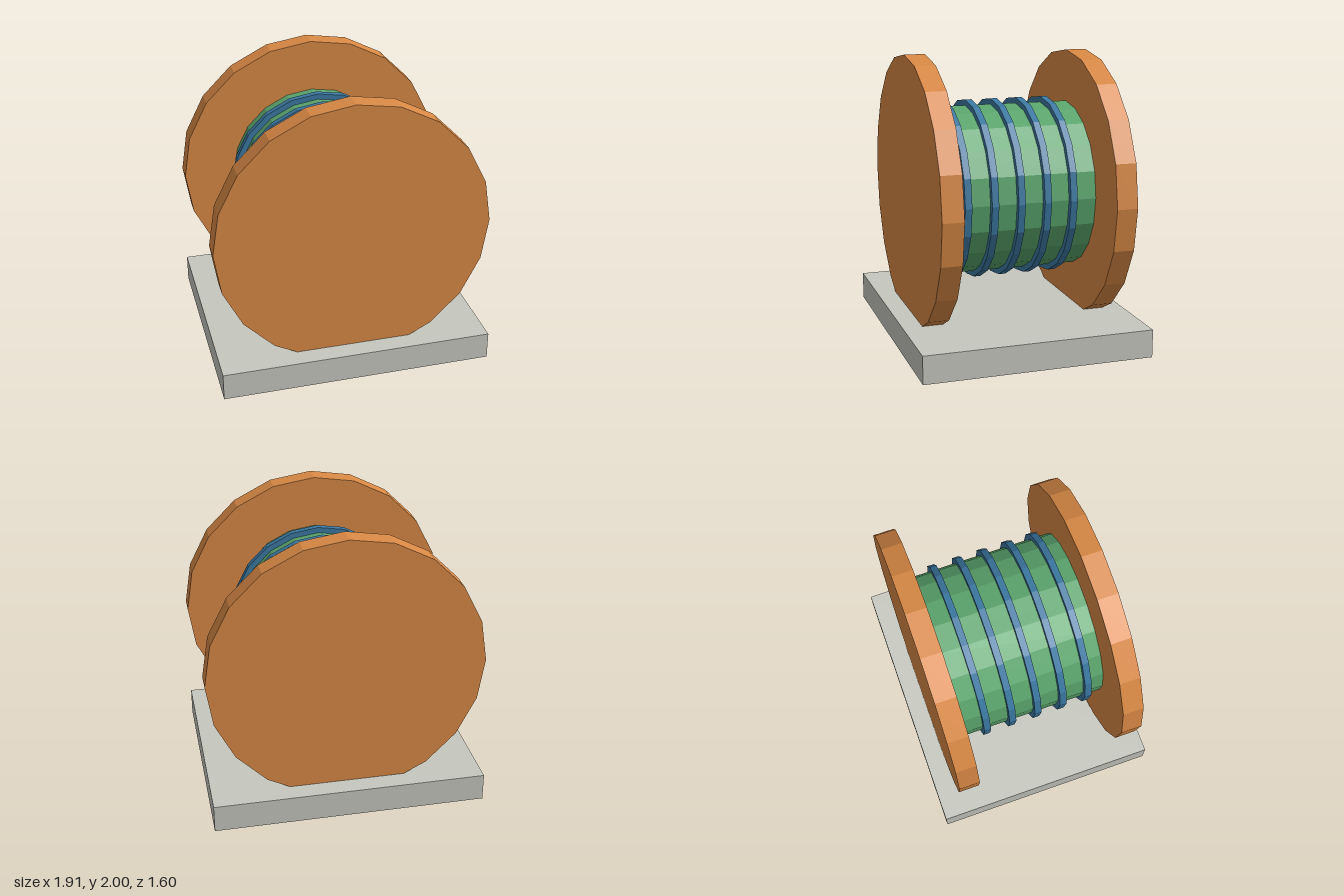
import * as THREE from 'three';

export function createModel() {
  const group = new THREE.Group();
  const material = (name, color) => {
    const m = new THREE.MeshStandardMaterial({ color, flatShading: true });
    m.name = name;
    return m;
  };
  const orange = material('orange flange', 0xd98945);
  const green = material('green drum', 0x5ba66d);
  const blue = material('blue cable', 0x3c79a3);
  const grey = material('grey base', 0xc6c7be);

  const AXIS_Y = 1.046;

  // Twenty-sided disc whose axis runs along z
  function disc(name, radius, depth, z, mat) {
    const geometry = new THREE.CylinderGeometry(radius, radius, depth, 20);
    geometry.rotateX(Math.PI / 2);
    const mesh = new THREE.Mesh(geometry, mat);
    mesh.name = name;
    mesh.position.set(0, AXIS_Y, z);
    group.add(mesh);
  }

  // Base slab
  const base = new THREE.Mesh(new THREE.BoxGeometry(1.9, 0.195, 1.6), grey);
  base.name = 'base';
  base.position.y = 0.0975;
  group.add(base);

  // End flanges, sunk slightly into the base
  disc('frontFlange', 0.954, 0.146, 0.59, orange);
  disc('backFlange', 0.954, 0.146, -0.59, orange);

  // Drum between the flanges
  disc('drum', 0.589, 1.04, 0, green);

  // Cable windings
  for (let i = 0; i < 5; i++) {
    disc(`winding${i + 1}`, 0.629, 0.048, 0.394 - 0.185 * i, blue);
  }

  return group;
}
